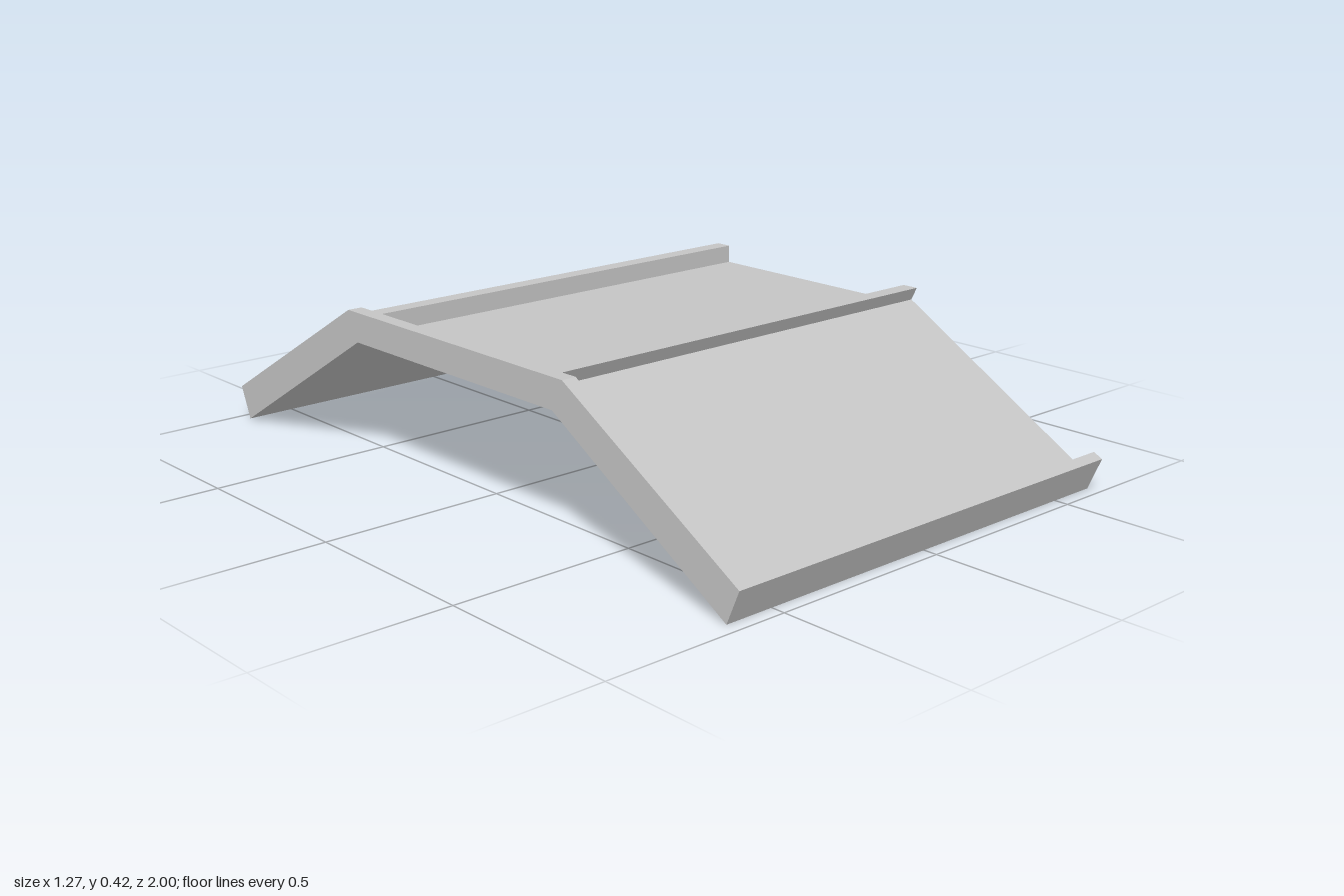
import * as THREE from 'three';

export function createModel() {
  const group = new THREE.Group();
  const grey = new THREE.MeshStandardMaterial({ color: 0xc4c4c4, flatShading: true });
  grey.name = 'light grey';

  const xRight = -0.635, xWall = -0.595, xLeft = 0.635;

  // Half cross-sections as [z, y], from the underside crease round to the middle
  const outerHalf = [[0.393, 0.337], [0.963, 0], [1, 0.087], [0.43, 0.416]];
  const trayHalf = [
    [0.393, 0.337], [0.963, 0], [1, 0.087],              // underside and lower edge
    [0.975, 0.1], [0.945, 0.046],                        // lower rim
    [0.366, 0.381], [0.383, 0.416],                      // sloped floor, ridge face
    [0.337, 0.416], [0.337, 0.367],                      // ridge top, flat floor
  ];

  // Mirrors a half section front to back and extrudes it across x
  function addSection(name, half, x0, x1) {
    const points = [...half, ...half.map(([z, y]) => [-z, y]).reverse()];
    const shape = new THREE.Shape(points.map(([z, y]) => new THREE.Vector2(z, y)));
    const geometry = new THREE.ExtrudeGeometry(shape, { depth: x1 - x0, bevelEnabled: false });
    geometry.rotateY(-Math.PI / 2);
    geometry.translate(x1, 0, 0);
    const mesh = new THREE.Mesh(geometry, grey);
    mesh.name = name;
    group.add(mesh);
  }

  addSection('endWall', outerHalf, xRight, xWall);
  addSection('recessedPanels', trayHalf, xWall, xLeft);
  return group;
}
